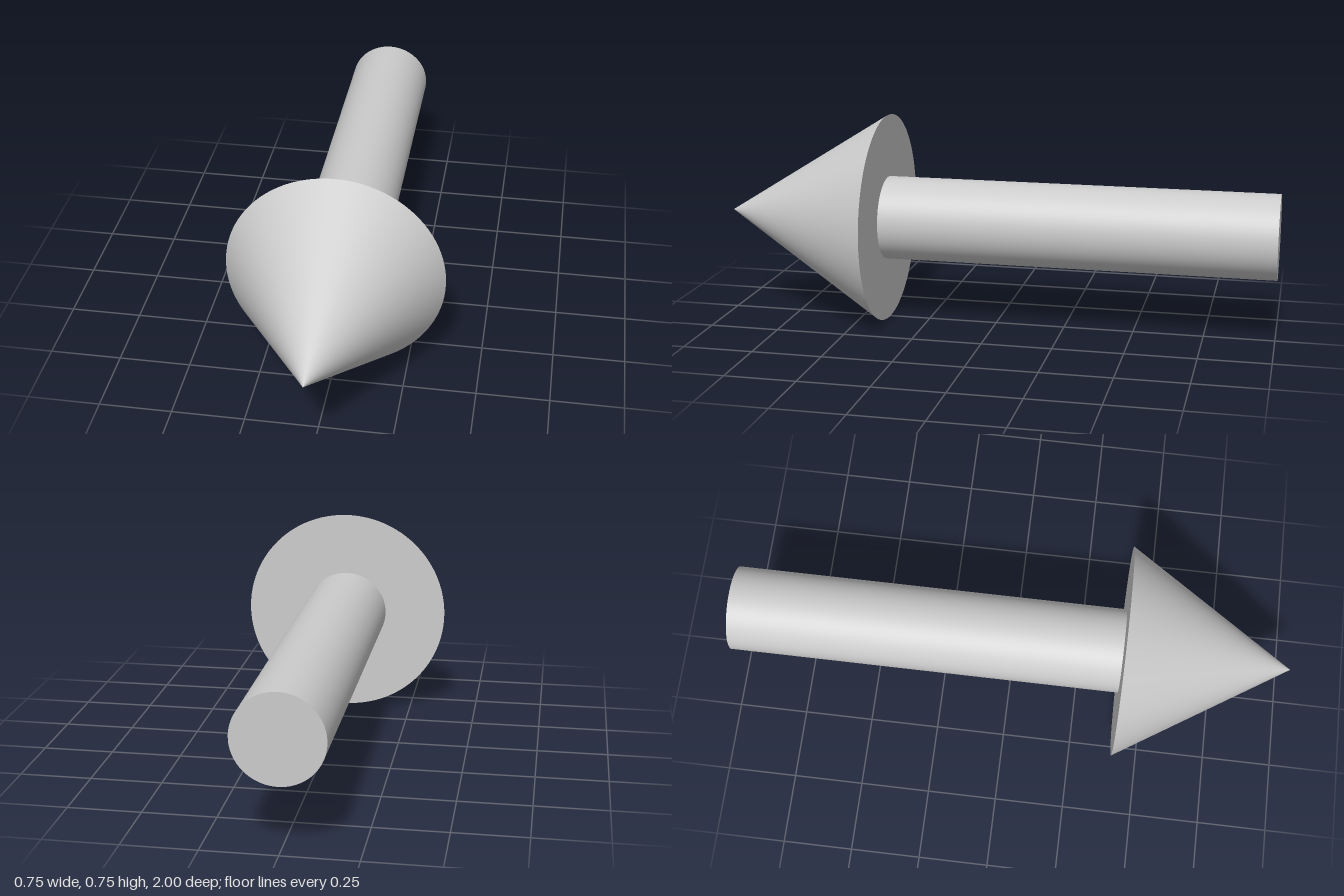
import * as THREE from 'three';

const AXIS_Y = 0.375; // height of the arrow's axis
const SEGMENTS = 96;

export function createModel() {
  const group = new THREE.Group();
  group.name = 'arrow';
  const material = new THREE.MeshStandardMaterial({ color: 0xcccccc });

  // Adds a round part lying along z, from zBack to zFront
  function addRound(name, rFront, rBack, zBack, zFront) {
    const geometry = new THREE.CylinderGeometry(rFront, rBack, zFront - zBack, SEGMENTS);
    geometry.rotateX(Math.PI / 2);
    const mesh = new THREE.Mesh(geometry, material);
    mesh.name = name;
    mesh.position.set(0, AXIS_Y, (zBack + zFront) / 2);
    group.add(mesh);
  }

  addRound('shaft', 0.15, 0.15, -1, 0.4);
  addRound('arrowhead', 0, 0.375, 0.4, 1);

  return group;
}
